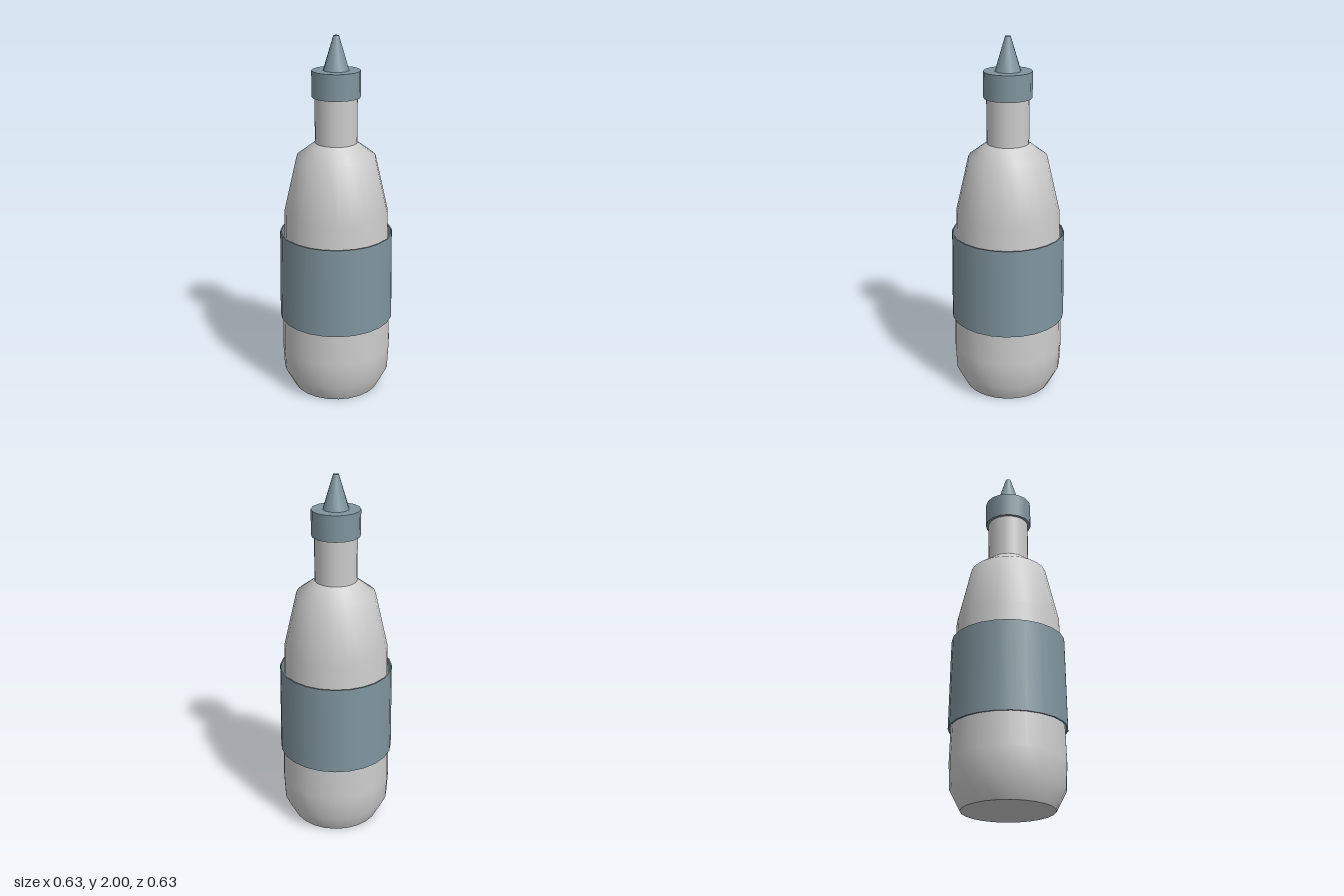
import * as THREE from 'three';

export function createModel() {
  const bottle = new THREE.Group();
  bottle.name = 'squeezeBottle';
  const grey = new THREE.MeshStandardMaterial({ color: 0xcccccc });
  const blue = new THREE.MeshStandardMaterial({ color: 0x7f949e });

  const add = (name, geometry, material, y = 0) => {
    const mesh = new THREE.Mesh(geometry, material);
    mesh.name = name;
    mesh.position.y = y;
    bottle.add(mesh);
    return mesh;
  };
  const lathe = (points) =>
    new THREE.LatheGeometry(points.map(([r, y]) => new THREE.Vector2(r, y)), 24);
  const cylinder = (name, top, bottom, y0, y1, sides, material) =>
    add(name, new THREE.CylinderGeometry(top, bottom, y1 - y0, sides), material, (y0 + y1) / 2);

  // Body: rounded foot, gently tapering sides and a sloped shoulder
  add('body', lathe([
    [0.245, 0], [0.3, 0.105], [0.307, 0.25], [0.284, 1.05], [0.213, 1.36], [0.113, 1.435],
  ]), grey);

  // Flat base closing the body
  const base = add('base', new THREE.CircleGeometry(0.245, 24), grey);
  base.rotation.x = Math.PI / 2;
  base.rotation.z = Math.PI / 2;

  // Label: thin tapered sleeve standing just off the body, built as hard-edged faces
  const label = new THREE.Group();
  label.name = 'label';
  bottle.add(label);
  const section = [[0.317, 0.43], [0.31, 0.93], [0.303, 0.93], [0.309, 0.43]];
  section.forEach((point, i) => {
    const face = new THREE.Mesh(lathe([point, section[(i + 1) % section.length]]), blue);
    face.name = ['labelOuter', 'labelTopRim', 'labelInner', 'labelBottomRim'][i];
    label.add(face);
  });

  // Neck, cap and pouring tip
  cylinder('neck', 0.114, 0.114, 1.43, 1.69, 24, grey);
  cylinder('cap', 0.13, 0.13, 1.68, 1.82, 16, blue);
  cylinder('nozzle', 0.015, 0.07, 1.82, 2, 12, blue);

  return bottle;
}
